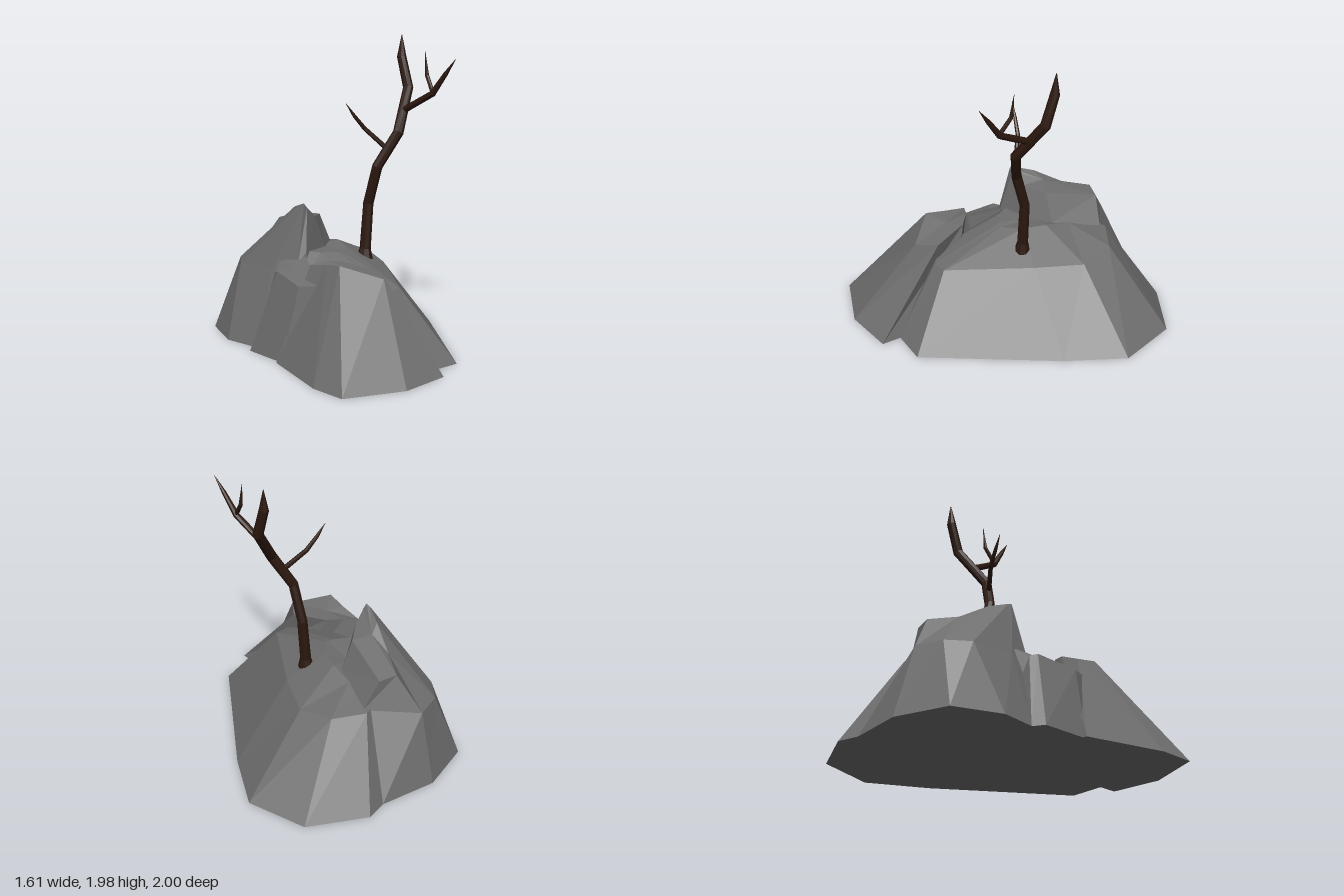
import * as THREE from 'three';

const stone = new THREE.MeshStandardMaterial({ color: 0x6e6e6e, flatShading: true, roughness: 1 });
const bark = new THREE.MeshStandardMaterial({ color: 0x2c180f, flatShading: true, roughness: 1 });

// Skin a stack of closed rings (counter-clockwise from above) and cap both ends
function loft(rings) {
  const n = rings[0].length, pos = [];
  const tri = (a, b, c) => pos.push(...a, ...b, ...c);
  const centre = r => [0, 1, 2].map(k => r.reduce((s, p) => s + p[k], 0) / n);
  const low = rings[0], high = rings[rings.length - 1];
  const lowMid = centre(low), highMid = centre(high);
  for (let i = 0; i < n; i++) {
    const j = (i + 1) % n;
    for (let r = 0; r + 1 < rings.length; r++) {
      const a = rings[r], b = rings[r + 1];
      tri(a[i], a[j], b[j]);
      tri(a[i], b[j], b[i]);
    }
    tri(low[j], low[i], lowMid);
    tri(high[i], high[j], highMid);
  }
  const g = new THREE.BufferGeometry();
  g.setAttribute('position', new THREE.Float32BufferAttribute(pos, 3));
  g.computeVertexNormals();
  return g;
}

// Tapered limb through points given as [x, y, z, radius]
function limb(points, sides = 8) {
  const p = points.map(q => new THREE.Vector3(q[0], q[1], q[2]));
  return loft(points.map((q, i) => {
    const t = new THREE.Vector3();
    if (i > 0) t.add(p[i].clone().sub(p[i - 1]).normalize());
    if (i + 1 < p.length) t.add(p[i + 1].clone().sub(p[i]).normalize());
    t.normalize();
    const u = new THREE.Vector3(0, 0, 1).addScaledVector(t, -t.z).normalize();
    const v = t.clone().cross(u);
    return Array.from({ length: sides }, (_, k) => {
      const a = k / sides * Math.PI * 2;
      return p[i].clone().addScaledVector(u, Math.cos(a) * q[3]).addScaledVector(v, Math.sin(a) * q[3]).toArray();
    });
  }));
}

const ground = outline => outline.map(([x, z]) => [x, 0, z]);

// Rings of each rock: ground outline, then shoulder and crown
const rocks = {
  mainMound: [
    ground([[.18, .78], [.64, -.06], [.80, -.45], [.64, -.84], [.25, -1], [.11, -.95],
      [-.35, -.8], [-.58, -.4], [-.58, .1], [-.5, .6], [-.07, .8]]),
    [[-.04, .46, .48], [.23, .485, -.05], [.34, .485, -.36], [.26, .52, -.59], [.05, .53, -.68], [0, .53, -.66],
      [-.25, .5, -.6], [-.4, .5, -.35], [-.42, .5, 0], [-.3, .46, .4], [-.15, .45, .5]],
    [[-.14, .61, .02], [-.04, .62, -.1], [0, .63, -.25], [0, .6, -.42], [-.02, .58, -.5], [-.06, .58, -.5],
      [-.15, .6, -.45], [-.28, .62, -.3], [-.33, .62, -.12], [-.28, .62, -.04], [-.18, .62, 0]],
  ],
  frontRock: [
    ground([[-.78, .89], [-.39, 1], [-.05, .93], [-.1, .4], [-.3, .05], [-.72, .1], [-.81, .64]]),
    [[-.46, .65, .42], [-.25, .57, .59], [-.17, .575, .46], [-.28, .61, .23], [-.38, .62, .16],
      [-.48, .6, .13], [-.46, .63, .28]],
  ],
  backRock: [
    ground([[-.5, -.08], [-.3, 0], [-.05, -.1], [.1, -.3], [.11, -.95], [-.28, -.97], [-.62, -.82],
      [-.71, -.5], [-.65, -.25]]),
    [[-.42, .55, -.1], [-.36, .62, -.09], [-.14, .62, -.2], [-.02, .62, -.31], [.05, .53, -.64], [-.28, .48, -.83],
      [-.45, .48, -.75], [-.54, .48, -.6], [-.5, .5, -.28]],
    [[-.335, .93, -.15], [-.31, .9, -.15], [-.23, .83, -.18], [-.11, .81, -.3], [-.06, .72, -.66], [-.18, .73, -.68],
      [-.25, .77, -.5], [-.3, .88, -.31], [-.34, .92, -.18]],
  ],
  sideRock: [
    ground([[-.69, .12], [-.5, .28], [-.3, 0], [-.38, -.3], [-.65, -.26], [-.72, -.21]]),
    [[-.58, .48, .15], [-.51, .5, .27], [-.36, .6, -.1], [-.41, .6, -.3], [-.54, .5, -.18], [-.56, .52, -.13]],
  ],
};

// Dead tree: a bent trunk and its bare branches
const limbs = {
  trunk: [[.07, .53, -.04, .055], [.075, .6, -.04, .037], [.1, .9, -.04, .034], [.12, 1.15, .03, .034],
    [.24, 1.37, .095, .035], [.41, 1.64, -.02, .034], [.405, 1.84, -.085, .031], [.41, 1.98, -.09, .002]],
  leftBranch: [[.17, 1.27, .06, .017], [.05, 1.4, -.015, .015], [-.02, 1.485, -.03, .012], [-.08, 1.57, -.04, .001]],
  frontBranch: [[.32, 1.505, .05, .022], [.38, 1.63, .27, .021], [.41, 1.76, .36, .015], [.435, 1.86, .43, .001]],
  frontTwig: [[.38, 1.64, .27, .014], [.39, 1.74, .2, .013], [.39, 1.89, .18, .001]],
};

export function createModel() {
  const model = new THREE.Group();
  const add = (parent, name, geometry, material) => {
    const mesh = new THREE.Mesh(geometry, material);
    mesh.name = name;
    parent.add(mesh);
  };
  const outcrop = new THREE.Group();
  outcrop.name = 'rocks';
  for (const name in rocks) add(outcrop, name, loft(rocks[name]), stone);
  const tree = new THREE.Group();
  tree.name = 'deadTree';
  for (const name in limbs) add(tree, name, limb(limbs[name]), bark);
  model.add(outcrop, tree);
  return model;
}
